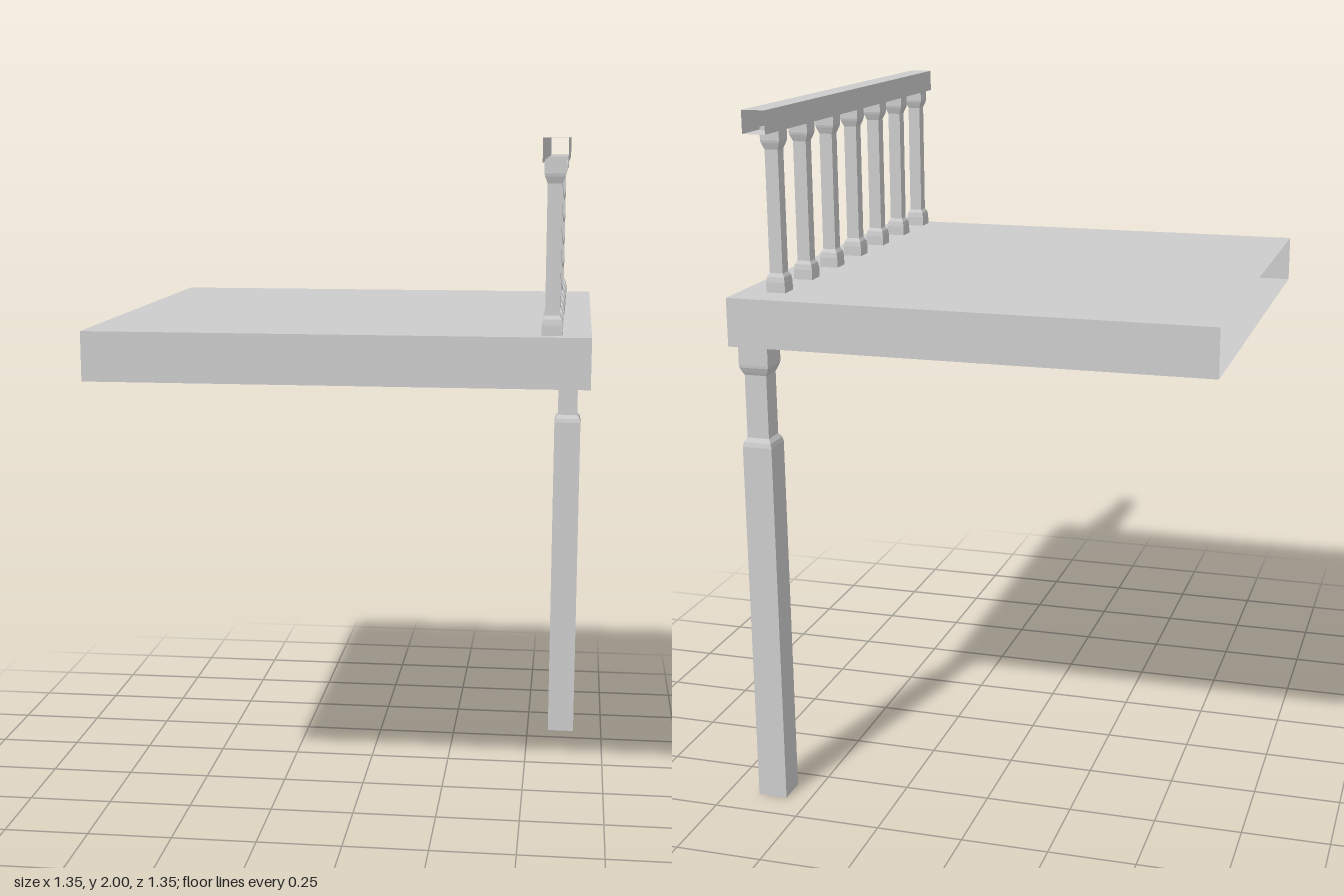
import * as THREE from 'three';

const material = new THREE.MeshStandardMaterial({ color: 0xcccccc, flatShading: true, side: THREE.DoubleSide });

// Square turned spindle: profile is a list of [half width, height]
function spindle(name, profile, x, z) {
  const points = profile.map(([h, y]) => new THREE.Vector2(h * Math.SQRT2, y));
  const geometry = new THREE.LatheGeometry(points, 4).rotateY(Math.PI / 4);
  const mesh = new THREE.Mesh(geometry, material);
  mesh.name = name;
  mesh.position.set(x, 0, z);
  return mesh;
}

// Box between two corners, leaving out the listed sides
// (side order: +x, -x, +y, -y, +z, -z)
function openBox(name, min, max, openSides) {
  const size = max.map((v, i) => v - min[i]);
  const geometry = new THREE.BoxGeometry(...size);
  const kept = [];
  const index = geometry.index.array;
  for (let side = 0; side < 6; side++) {
    if (!openSides.includes(side)) kept.push(...index.slice(side * 6, side * 6 + 6));
  }
  geometry.setIndex(kept);
  geometry.clearGroups();
  const mesh = new THREE.Mesh(geometry, material);
  mesh.name = name;
  mesh.position.set(...min.map((v, i) => (v + max[i]) / 2));
  return mesh;
}

export function createModel() {
  const model = new THREE.Group();
  model.name = 'balconySection';

  // Platform slab, open on the side that joins the next section
  model.add(openBox('platform', [-0.675, 1.36, -0.675], [0.675, 1.495, 0.675], [1]));

  // Handrail, open at both ends
  model.add(openBox('handrail', [0.54, 1.937, -0.675], [0.605, 2, 0.675], [4, 5]));

  // Corner support post
  const postProfile = [
    [0, 0], [0.043, 0], [0.043, 1.07], [0.04, 1.083], [0.032, 1.095],
    [0.032, 1.275], [0.036, 1.283], [0.042, 1.297], [0.043, 1.305], [0.043, 1.36],
  ];
  model.add(spindle('supportPost', postProfile, 0.613, -0.611));

  // Row of balusters
  const balusterProfile = [
    [0.0275, 1.495], [0.0275, 1.523], [0.025, 1.538], [0.019, 1.548],
    [0.019, 1.885], [0.021, 1.89], [0.026, 1.903], [0.0275, 1.91], [0.0275, 1.945], [0, 1.945],
  ];
  const balusters = new THREE.Group();
  balusters.name = 'balusters';
  for (let i = 0; i < 7; i++) {
    balusters.add(spindle('baluster', balusterProfile, 0.572, 0.612 - i * 0.1935));
  }
  model.add(balusters);

  return model;
}
